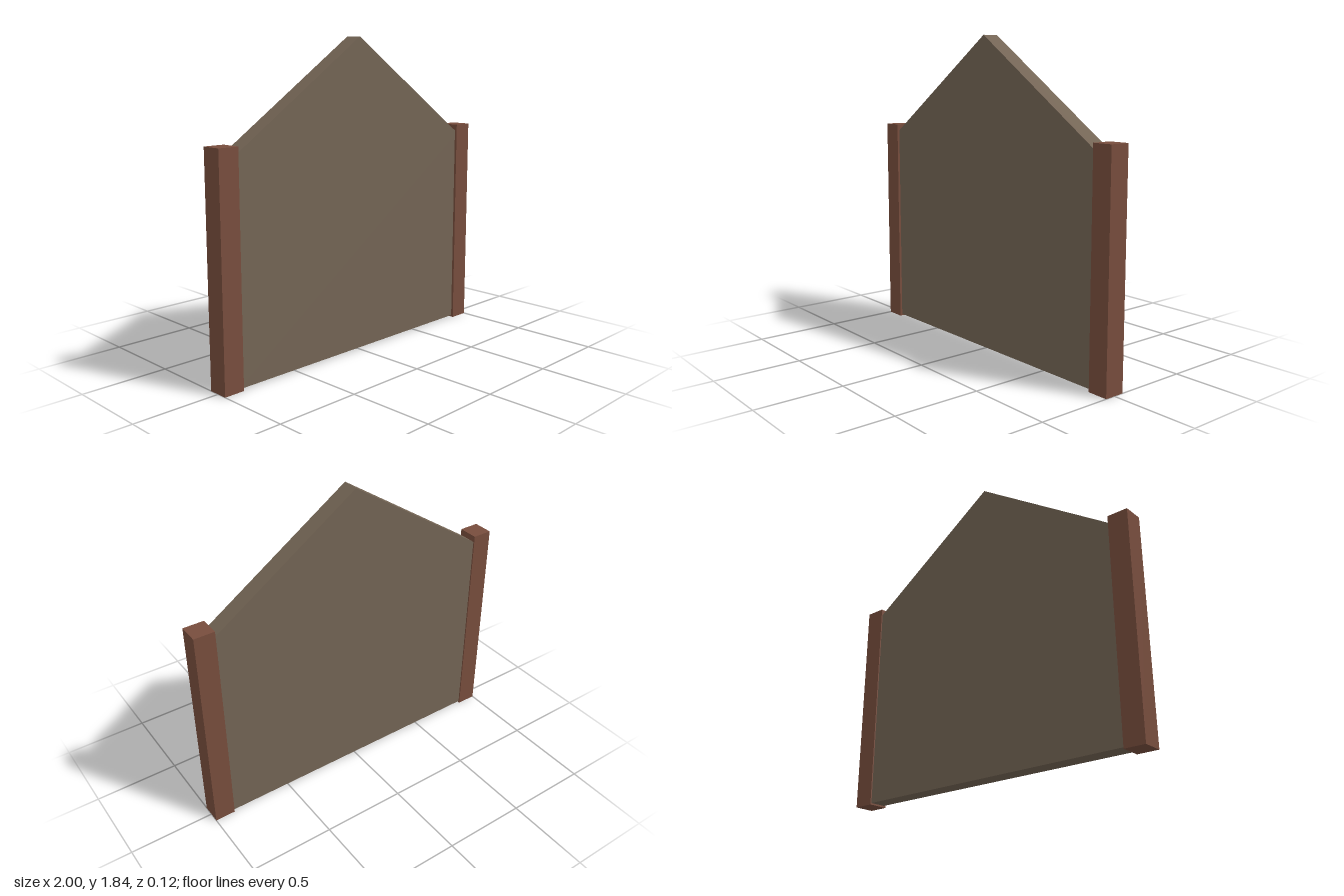
import * as THREE from 'three';

export function createModel() {
  const model = new THREE.Group();
  model.name = 'gableWall';

  const plaster = new THREE.MeshStandardMaterial({ color: 0x736454 });
  plaster.name = 'greyBrownPanel';
  const timber = new THREE.MeshStandardMaterial({ color: 0x774d3d });
  timber.name = 'redBrownTimber';

  // Gabled panel, its edges tucked slightly into the posts
  const edge = 0.9, base = 0.01, eave = 1.237, apex = 1.84;
  const outline = new THREE.Shape([
    new THREE.Vector2(-edge, base),
    new THREE.Vector2(edge, base),
    new THREE.Vector2(edge, eave),
    new THREE.Vector2(0, apex),
    new THREE.Vector2(-edge, eave),
  ]);
  const panelGeometry = new THREE.ExtrudeGeometry(outline, { depth: 0.1, bevelEnabled: false });
  panelGeometry.translate(0, 0, -0.053);
  const panel = new THREE.Mesh(panelGeometry, plaster);
  panel.name = 'gablePanel';
  model.add(panel);

  // Square corner posts
  const postWidth = 0.122, postHeight = 1.29;
  for (const side of [-1, 1]) {
    const post = new THREE.Mesh(new THREE.BoxGeometry(postWidth, postHeight, postWidth), timber);
    post.name = side > 0 ? 'leftPost' : 'rightPost';
    post.position.set(side * (1 - postWidth / 2), postHeight / 2, 0);
    model.add(post);
  }

  return model;
}
